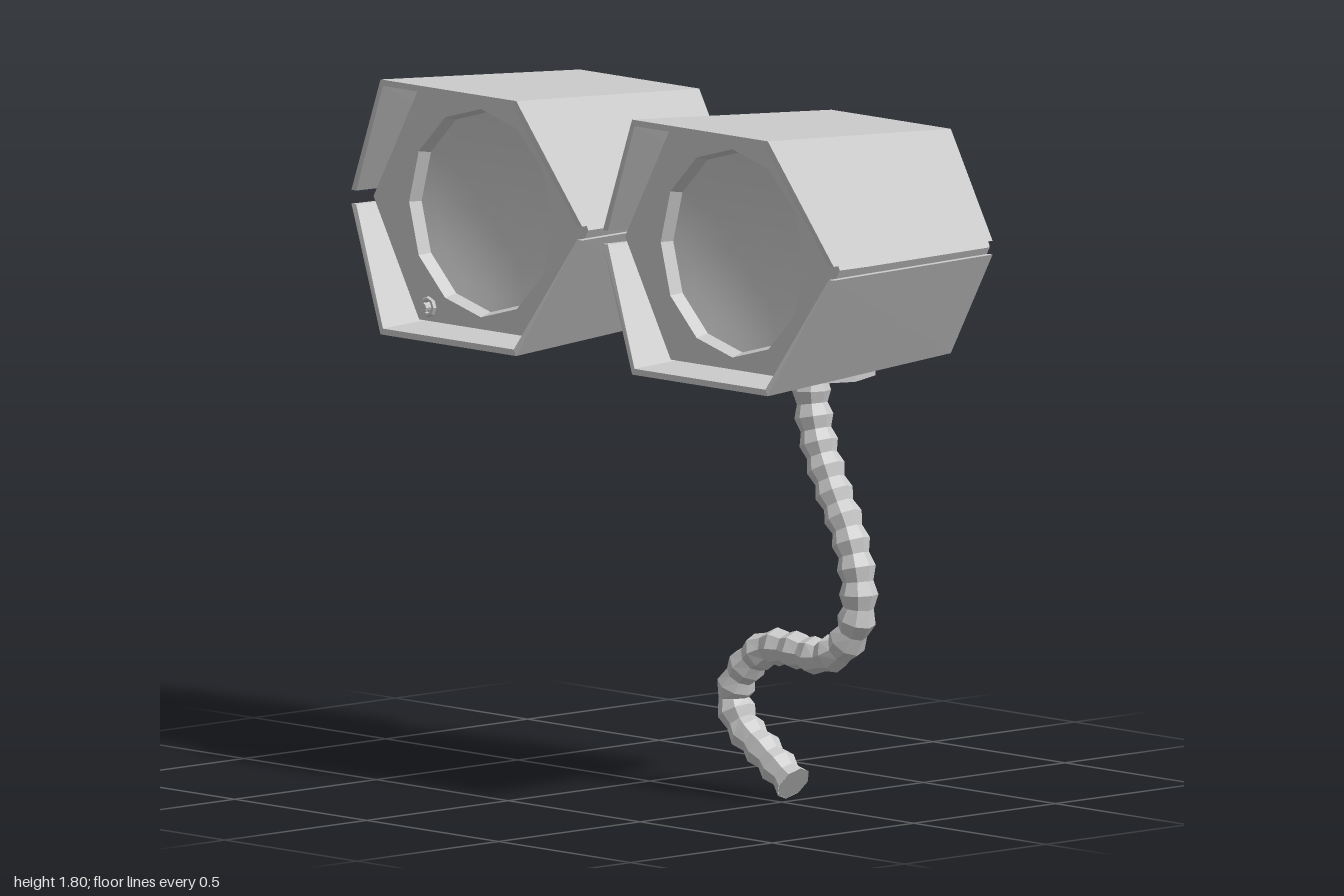
import * as THREE from 'three';

const V = (x, y, z) => new THREE.Vector3(x, y, z);
const flat = new THREE.MeshStandardMaterial({ color: 0xcccccc, flatShading: true, side: THREE.DoubleSide });
const smooth = new THREE.MeshStandardMaterial({ color: 0xcccccc, side: THREE.DoubleSide });
const POD_Y = 1.466, CABLE_Z = -0.05;
// wide hexagon, left corner first, over the top to the right
const HEX = [[-0.447, 0], [-0.257, 0.333], [0.257, 0.333], [0.447, 0], [0.257, -0.333], [-0.257, -0.333]];

function add(parent, name, geometry, material = flat) {
  const mesh = new THREE.Mesh(geometry, material);
  mesh.name = name;
  parent.add(mesh);
  return mesh;
}

// Skin successive rows of points; wrapRows joins last row to first, closed joins each row's ends
function loft(rows, closed, wrapRows) {
  const pos = [];
  const quad = (a, b, c, d) => [a, b, c, a, c, d].forEach(p => pos.push(p.x, p.y, p.z));
  const n = rows[0].length;
  for (let r = 0; r < rows.length - (wrapRows ? 0 : 1); r++) {
    const p = rows[r], q = rows[(r + 1) % rows.length];
    for (let i = 0; i < n - (closed ? 0 : 1); i++) {
      const j = (i + 1) % n;
      quad(p[i], p[j], q[j], q[i]);
    }
  }
  if (wrapRows) {
    const [a, b, c, d] = rows;
    quad(a[0], b[0], c[0], d[0]);
    quad(d[n - 1], c[n - 1], b[n - 1], a[n - 1]);
  }
  const g = new THREE.BufferGeometry();
  g.setAttribute('position', new THREE.Float32BufferAttribute(pos, 3));
  g.computeVertexNormals();
  return g;
}

// Upper half of the hexagonal cover, with a raked front edge
function shellGeometry() {
  const row = (s, inset, zSide, zTop) => [[-1, 0], [-1, 1], [1, 1], [1, 0]].map(([side, top]) => top
    ? V(side * (0.257 * s - inset * 0.58), 0.333 * s - inset, zTop)
    : V(side * (0.437 * s - inset * 1.15), 0.018, zSide));
  return loft([
    row(1, 0, 0.28, 0.345), row(0.88, 0, -0.33, -0.33),
    row(0.88, 0.016, -0.33, -0.33), row(1, 0.016, 0.28, 0.345),
  ], false, true);
}

function makePod(name, x) {
  const pod = new THREE.Group();
  pod.name = name;
  pod.position.set(x, POD_Y, 0);

  const shell = shellGeometry();
  add(pod, 'upperShell', shell);
  add(pod, 'lowerShell', shell).rotation.z = Math.PI;

  // tapered core ending in the raised back panel
  const core = [[0, 0.13], [0.91, 0.13], [0.84, -0.328], [0.81, -0.328], [0.8, -0.345], [0, -0.345]];
  add(pod, 'core', loft(core.map(([s, z]) => HEX.map(p => V(p[0] * s, p[1] * s, z))), true, false));
  add(pod, 'backSlot', new THREE.BoxGeometry(0.38, 0.028, 0.01)).position.set(0, -0.225, -0.343);

  // front plate with a twelve-sided opening
  const face = new THREE.Shape(HEX.map(p => new THREE.Vector2(p[0] * 0.91, p[1] * 0.91)));
  const hole = [];
  for (let i = 0; i < 12; i++) {
    const a = i * Math.PI / 6;
    hole.push(new THREE.Vector2(0.272 * Math.cos(a), 0.272 * Math.sin(a)));
  }
  face.holes.push(new THREE.Path(hole));
  add(pod, 'facePlate', new THREE.ExtrudeGeometry(face, { depth: 0.1, bevelEnabled: false })).position.z = 0.13;

  // opening lip and shallow dish
  const lathe = pts => new THREE.LatheGeometry(pts.map(p => new THREE.Vector2(...p)), 12).rotateX(Math.PI / 2);
  add(pod, 'lensLip', lathe([[0.272, 0.23], [0.262, 0.195]]));
  const dish = [];
  for (let i = 0; i <= 6; i++) {
    const r = 1 - i / 6;
    dish.push([0.262 * r, 0.155 + 0.04 * r * r]);
  }
  add(pod, 'lens', lathe(dish), smooth);
  return pod;
}

// Three-pronged arm on the +x side of a pod
function makeArm() {
  const arm = new THREE.Group();
  for (const k of [-1, 0, 1]) {
    const drop = k ? -0.022 : 0;
    const path = new THREE.CatmullRomCurve3([
      V(0.3, -0.168 + drop, -0.055 + k * 0.085), V(0.41, -0.178 + drop, -0.055 + k * 0.08),
      V(0.475, -0.235 + drop, -0.055 + k * 0.055), V(0.53, -0.315 + drop * 0.5, -0.055 + k * 0.04),
      V(0.597, -0.368, -0.055 + k * 0.008),
    ]);
    add(arm, 'prong', new THREE.TubeGeometry(path, 8, 0.018, 6));
  }
  return arm;
}

// Ribbed hose: a tube whose rings alternate between wide and narrow
function makeCable(group) {
  const path = new THREE.CatmullRomCurve3([
    [0.56, 1.15], [0.56, 1.06], [0.585, 0.95], [0.64, 0.83], [0.70, 0.72], [0.735, 0.6], [0.73, 0.5],
    [0.68, 0.425], [0.6, 0.39], [0.5, 0.395], [0.4, 0.39], [0.315, 0.335], [0.265, 0.25],
    [0.3, 0.175], [0.37, 0.125], [0.43, 0.085], [0.49, 0.045],
  ].map(([x, y]) => V(x, y, CABLE_Z)));
  const rings = 46, sides = 8;
  const g = new THREE.TubeGeometry(path, rings, 0.05, sides);
  const pos = g.attributes.position, p = V(0, 0, 0);
  for (let i = 0; i <= rings; i++) {
    const c = path.getPointAt(i / rings);
    for (let j = 0; j <= sides; j++) {
      const n = i * (sides + 1) + j;
      p.fromBufferAttribute(pos, n).sub(c).multiplyScalar(i % 2 ? 0.8 : 1.02).add(c);
      pos.setXYZ(n, p.x, p.y, p.z);
    }
  }
  add(group, 'cable', g);
  const end = add(group, 'cableEnd', new THREE.CircleGeometry(0.05, sides));
  end.position.copy(path.getPointAt(1));
  end.lookAt(end.position.clone().add(path.getTangentAt(1)));
}

export function createModel() {
  const model = new THREE.Group();
  model.name = 'twinPods';
  const rightPod = makePod('rightPod', -0.393);
  const leftPod = makePod('leftPod', 0.56);
  model.add(rightPod, leftPod);

  // arms either side of the right pod
  for (const side of [1, -1]) {
    const arm = makeArm();
    arm.name = side > 0 ? 'leftArm' : 'rightArm';
    arm.scale.x = side;
    rightPod.add(arm);
  }

  // small knob on the right pod's face
  add(rightPod, 'knobRing', new THREE.TorusGeometry(0.021, 0.007, 6, 8)).position.set(-0.193, -0.265, 0.235);
  add(rightPod, 'knob', new THREE.CylinderGeometry(0.012, 0.012, 0.03, 8).rotateX(Math.PI / 2))
    .position.set(-0.193, -0.265, 0.24);

  // octagonal socket and hose under the left pod
  const socket = [[0, 1.14], [0.125, 1.14], [0.14, 1.12], [0.165, 1.12], [0.165, 1.18], [0, 1.18]];
  add(model, 'cableSocket', new THREE.LatheGeometry(socket.map(p => new THREE.Vector2(...p)), 8))
    .position.set(0.56, 0, CABLE_Z);
  makeCable(model);
  return model;
}
